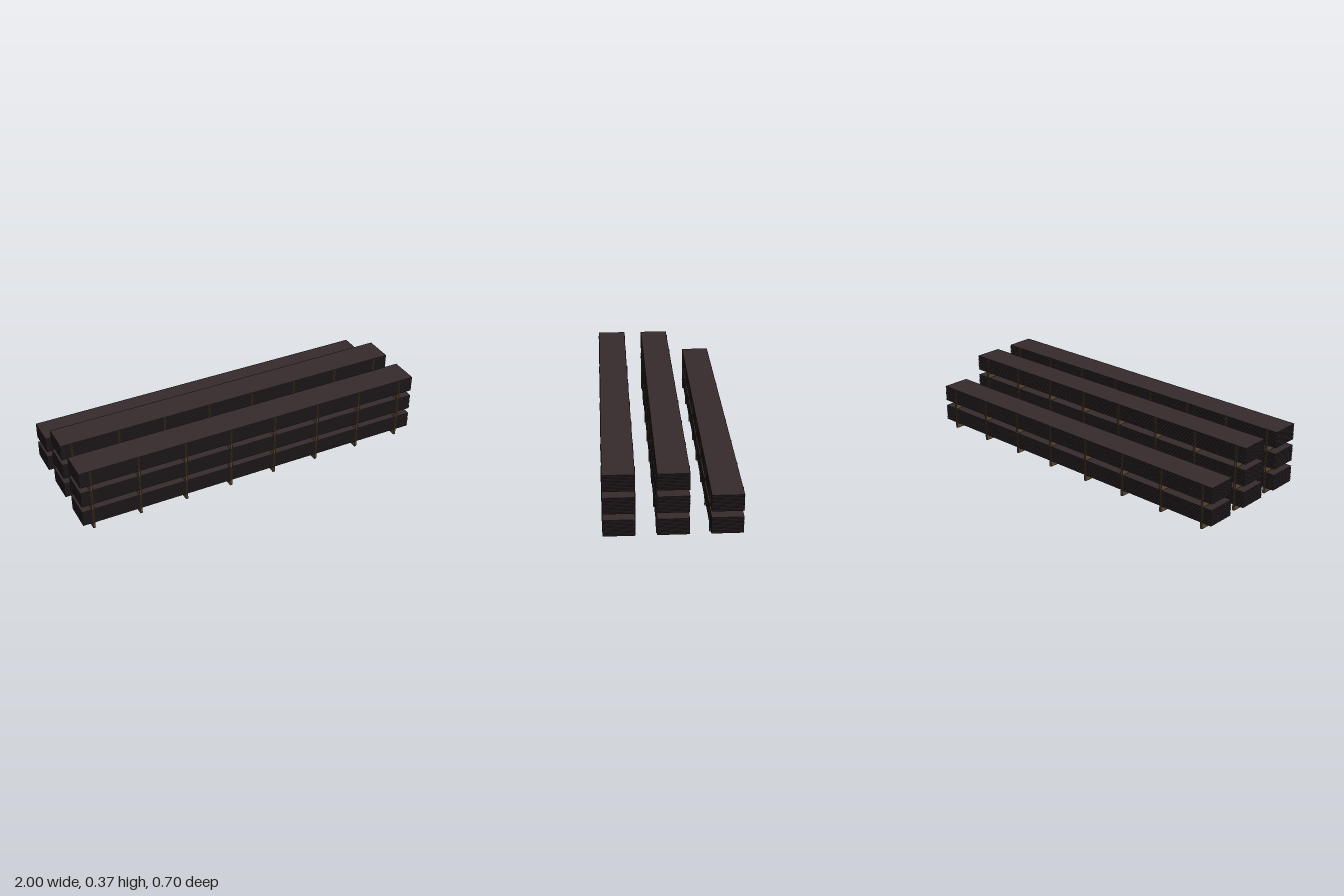
import * as THREE from 'three';
import { mergeGeometries } from 'three/addons/utils/BufferGeometryUtils.js';

const boardMat = new THREE.MeshStandardMaterial({ color: 0x352b2d });
const stickMat = new THREE.MeshStandardMaterial({ color: 0x57452f });

const TIER = 0.122;            // height of one bundle including its bearers
const BEARER = 0.0335;         // height of the bearers under a bundle
const BOARDS = 12;
const T = (TIER - BEARER) / (BOARDS * 2 - 1); // board and sticker thickness
const stickXs = Array.from({ length: 8 }, (_, i) => -0.941 + i * 0.265);

function box(w, h, d, x, y) {
  return new THREE.BoxGeometry(w, h, d).translate(x, y + h / 2, 0);
}

function part(name, geometries, material) {
  const mesh = new THREE.Mesh(mergeGeometries(geometries), material);
  mesh.name = name;
  return mesh;
}

// One bundle: bearers, then boards kept apart by thin stickers
function createBundle() {
  const bundle = new THREE.Group();
  bundle.name = 'bundle';
  const bearers = stickXs.map((x) => box(0.013, BEARER, 0.164, x, 0));
  const boards = [];
  const stickers = [];
  for (let i = 0; i < BOARDS; i++) {
    const y = BEARER + i * 2 * T;
    boards.push(box(2, T, 0.16, 0, y));
    if (i < BOARDS - 1) {
      for (const x of stickXs) stickers.push(box(0.013, T, 0.166, x, y + T));
    }
  }
  bundle.add(
    part('bearers', bearers, stickMat),
    part('boards', boards, boardMat),
    part('stickers', stickers, stickMat)
  );
  return bundle;
}

export function createModel() {
  const model = new THREE.Group();
  model.name = 'stackedBoards';
  // Three rows; the back row is one bundle lower
  const rows = [
    { name: 'frontStack', z: 0.265, tiers: 3 },
    { name: 'middleStack', z: 0, tiers: 3 },
    { name: 'backStack', z: -0.265, tiers: 2 },
  ];
  for (const { name, z, tiers } of rows) {
    const stack = new THREE.Group();
    stack.name = name;
    stack.position.z = z;
    for (let i = 0; i < tiers; i++) {
      const bundle = createBundle();
      bundle.position.y = i * TIER;
      stack.add(bundle);
    }
    model.add(stack);
  }
  return model;
}
